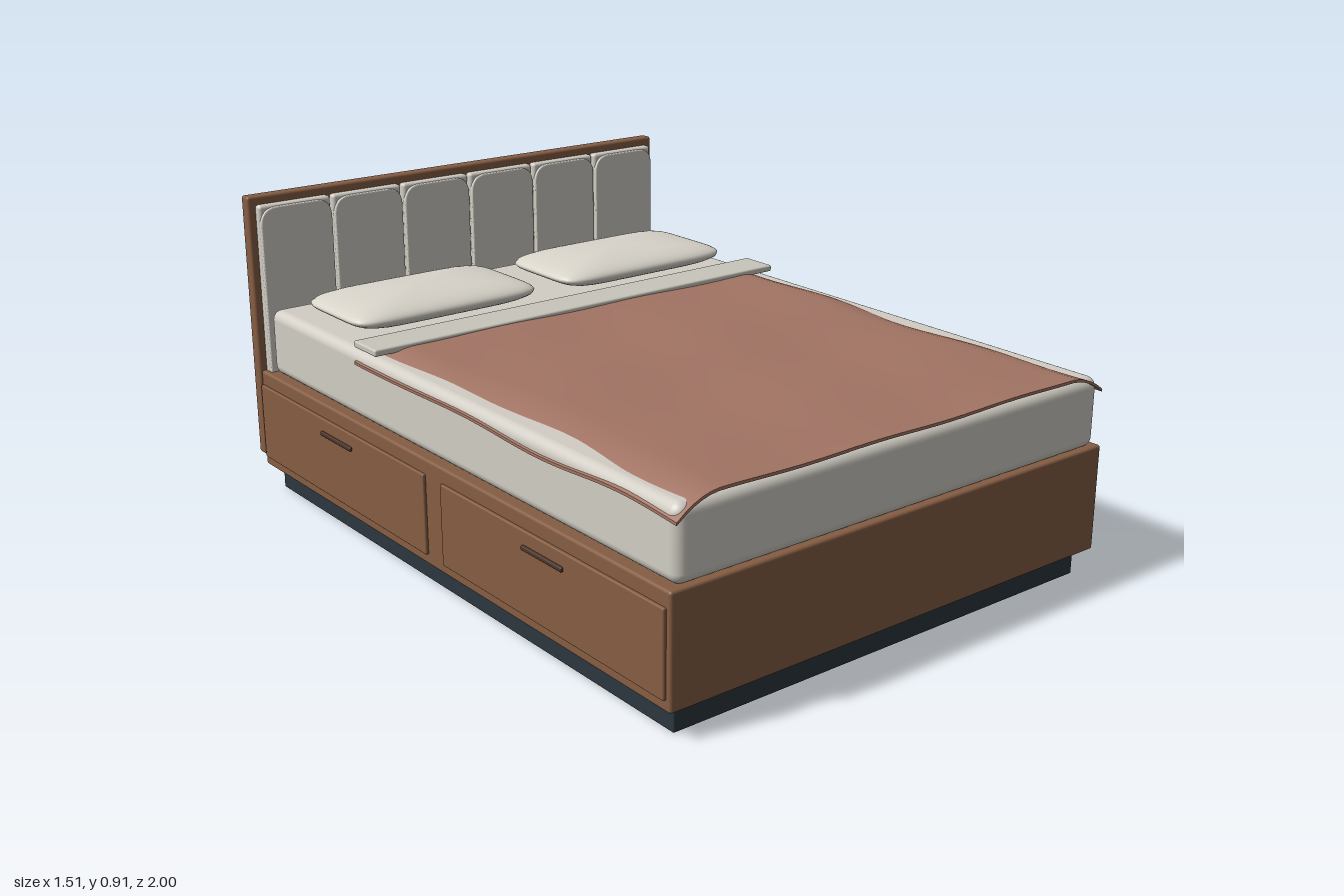
import * as THREE from 'three';
import { mergeVertices } from 'three/addons/utils/BufferGeometryUtils.js';
import { RoundedBoxGeometry } from 'three/addons/geometries/RoundedBoxGeometry.js';

const material = (name, color) => {
  const m = new THREE.MeshStandardMaterial({ color });
  m.name = name;
  return m;
};

export function createModel() {
  const wood = material('wood', 0x855d43);
  const plinthPaint = material('plinth slate', 0x2c363f);
  const linen = material('linen', 0xd2cec5);
  const pillowCotton = material('pillow cotton', 0xd8d4ca);
  const sheetCotton = material('sheet cotton', 0xc9c6bc);
  const wool = material('blanket wool', 0xa27464);
  const metal = material('handle bronze', 0x4a3428);

  const bed = new THREE.Group();
  bed.name = 'bed';
  const add = (name, geometry, mat, x = 0, y = 0, z = 0) => {
    const mesh = new THREE.Mesh(geometry, mat);
    mesh.name = name;
    mesh.position.set(x, y, z);
    bed.add(mesh);
    return mesh;
  };
  // rounded block given by its limits on each axis
  const block = (name, mat, [x0, x1], [y0, y1], [z0, z1], radius) =>
    add(name, new RoundedBoxGeometry(x1 - x0, y1 - y0, z1 - z0, 4, radius), mat,
      (x0 + x1) / 2, (y0 + y1) / 2, (z0 + z1) / 2);

  // frame
  block('plinth', plinthPaint, [-0.7, 0.7], [0, 0.08], [-0.94, 0.965], 0.004);
  block('base', wood, [-0.738, 0.738], [0.075, 0.378], [-0.975, 1], 0.008);
  block('headboard', wood, [-0.746, 0.746], [0.11, 0.91], [-1, -0.96], 0.008);

  // storage drawers on both sides
  for (const side of [-1, 1]) {
    for (const [z0, z1] of [[0.055, 0.985], [-0.957, -0.028]]) {
      const mid = (z0 + z1) / 2;
      add('drawerFront', new RoundedBoxGeometry(0.02, 0.23, z1 - z0, 2, 0.004), wood,
        side * 0.737, 0.221, mid);
      add('drawerHandle', new RoundedBoxGeometry(0.014, 0.013, 0.17, 2, 0.004), metal,
        side * 0.748, 0.293, mid);
    }
  }

  // upholstered headboard panels: a slab with a round-cornered pad in front
  const w = 0.112, top = 0.875, bottom = 0.37, r = 0.05;
  const padShape = new THREE.Shape();
  padShape.moveTo(-w, bottom);
  padShape.lineTo(w, bottom);
  padShape.lineTo(w, top - r);
  padShape.quadraticCurveTo(w, top, w - r, top);
  padShape.lineTo(-w + r, top);
  padShape.quadraticCurveTo(-w, top, -w, top - r);
  const padGeometry = new THREE.ExtrudeGeometry(padShape, {
    depth: 0.008, bevelEnabled: true, bevelSize: 0.004, bevelThickness: 0.004, bevelSegments: 3,
  });
  for (let i = 0; i < 6; i++) {
    const x = (i - 2.5) * 0.2425;
    block('headboardPanel', linen, [x - 0.117, x + 0.117], [0.37, 0.885], [-0.965, -0.934], 0.01);
    add('headboardPad', padGeometry, linen, x, 0, -0.938);
  }

  // mattress
  block('mattress', linen, [-0.717, 0.717], [0.376, 0.575], [-0.925, 0.995], 0.03);

  // blanket: a thin sheet with soft ripples that sags along both sides
  const blanket = new THREE.BoxGeometry(1.444, 0.008, 1.41, 60, 1, 48);
  blanket.translate(0, 0, 0.295);
  const p = blanket.attributes.position;
  for (let i = 0; i < p.count; i++) {
    const x = p.getX(i), z = p.getZ(i);
    const start = 0.575 - 0.02 * Math.cos((z - 0.35) * 4.5);
    const t = Math.max(0, (Math.abs(x) - start) / (0.722 - start));
    const drop = (0.047 - 0.006 * Math.cos((z - 0.05) * 9)) * t * t;
    const ripple = 0.003 * Math.sin(z * 11 + x * 2) + 0.002 * Math.sin(x * 13 + z * 3);
    p.setY(i, p.getY(i) + 0.588 + ripple - drop);
  }
  blanket.computeVertexNormals();
  add('blanket', blanket, wool);

  // folded sheet across the head end of the blanket
  block('foldedSheet', sheetCotton, [-0.717, 0.717], [0.583, 0.603], [-0.42, -0.302], 0.006);

  // pillows: spheres squared off in plan and flattened
  let pillow = new THREE.SphereGeometry(1, 64, 32);
  const q = pillow.attributes.position;
  for (let i = 0; i < q.count; i++) {
    const x = q.getX(i), z = q.getZ(i);
    const square = (Math.abs(x) ** 7 + Math.abs(z) ** 7) ** (1 / 7);
    const k = square > 1e-6 ? Math.hypot(x, z) / square : 0;
    q.setXYZ(i, x * k * 0.308, q.getY(i) * 0.045, z * k * 0.176);
  }
  pillow.deleteAttribute('uv');
  pillow.deleteAttribute('normal');
  pillow = mergeVertices(pillow, 1e-5);
  pillow.computeVertexNormals();
  for (const side of [-1, 1]) add('pillow', pillow, pillowCotton, side * 0.358, 0.618, -0.637);

  return bed;
}
